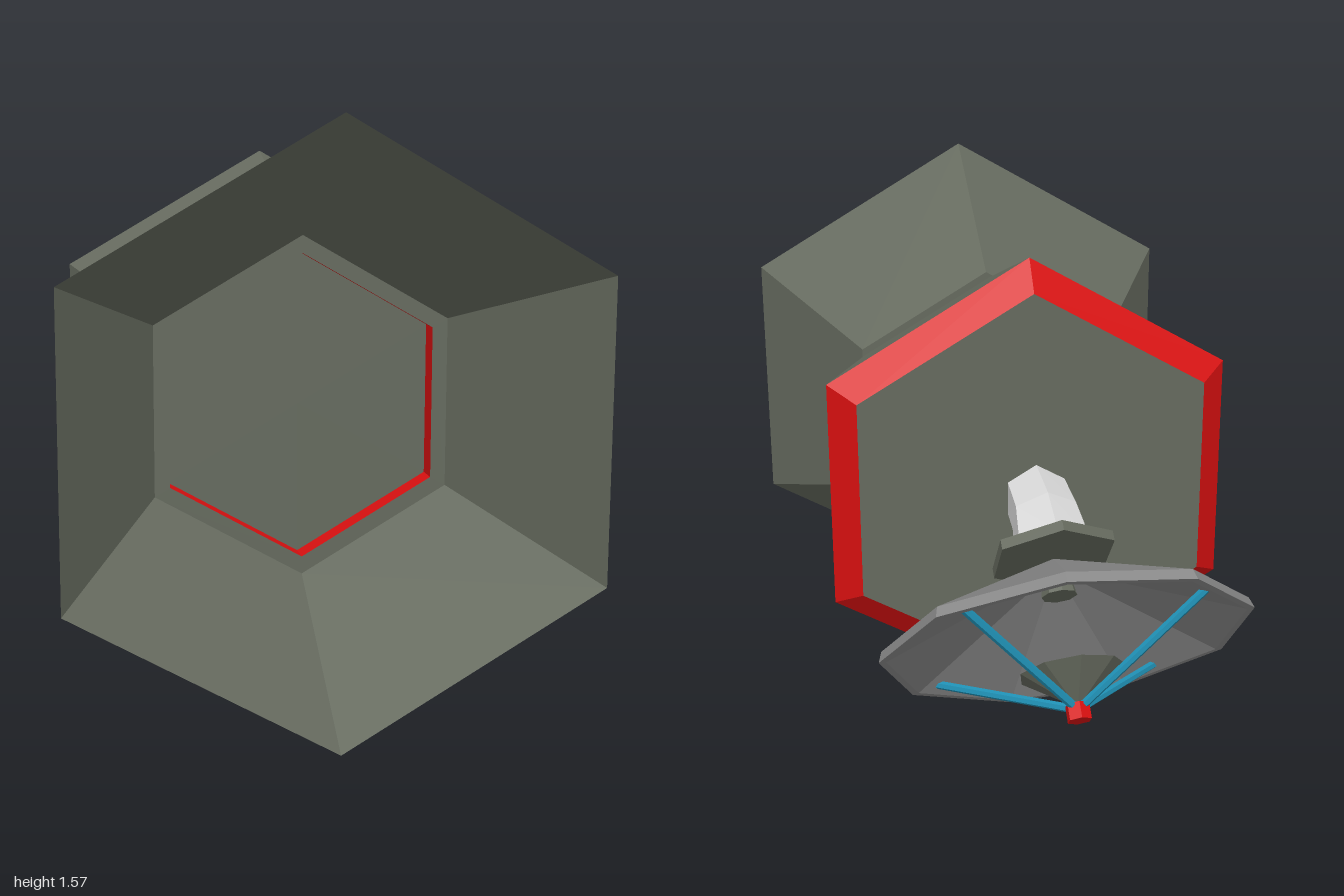
import * as THREE from 'three';

const AXIS_Y = 0.787; // height of the hull axis

function makeMaterials() {
  const make = (name, color) => {
    const m = new THREE.MeshStandardMaterial({ color, flatShading: true, side: THREE.DoubleSide });
    m.name = name;
    return m;
  };
  return {
    olive: make('olive hull', 0x656a5e),
    red: make('red trim', 0xd81010),
    grey: make('grey dish', 0x888888),
    pale: make('pale neck', 0xd8d8d8),
    blue: make('blue struts', 0x2093b8),
  };
}

function add(parent, name, geometry, material) {
  const mesh = new THREE.Mesh(geometry, material);
  mesh.name = name;
  parent.add(mesh);
  return mesh;
}

// Hexagonal frustum along z, with corners at top and bottom
function hexFrustum(zFront, rFront, zBack, rBack, open) {
  const g = new THREE.CylinderGeometry(rFront, rBack, zFront - zBack, 6, 1, open);
  return g.rotateX(Math.PI / 2).translate(0, 0, (zFront + zBack) / 2);
}

// Bent hexagonal tube; each section is [topY, topZ, bottomY, bottomZ]
function bentNeck(sections) {
  const pos = [], index = [], n = 6;
  for (const [ty, tz, by, bz] of sections) {
    const hy = (ty - by) / 2, hz = (tz - bz) / 2, r = Math.hypot(hy, hz);
    for (let j = 0; j < n; j++) {
      const t = (j / n) * Math.PI * 2;
      pos.push(r * Math.sin(t), (ty + by) / 2 + hy * Math.cos(t), (tz + bz) / 2 + hz * Math.cos(t));
    }
  }
  for (let i = 0; i < sections.length - 1; i++) {
    for (let j = 0; j < n; j++) {
      const a = i * n + j, b = i * n + ((j + 1) % n);
      index.push(a, b, a + n, b, b + n, a + n);
    }
  }
  for (let j = 1; j < n - 1; j++) index.push(0, j + 1, j); // start cap
  const g = new THREE.BufferGeometry();
  g.setAttribute('position', new THREE.Float32BufferAttribute(pos, 3));
  g.setIndex(index);
  g.computeVertexNormals();
  return g;
}

function strut(parent, name, from, to, radius, material) {
  const dir = to.clone().sub(from);
  const mesh = add(parent, name, new THREE.CylinderGeometry(radius, radius, dir.length(), 6), material);
  mesh.position.copy(from).add(to).multiplyScalar(0.5);
  mesh.quaternion.setFromUnitVectors(new THREE.Vector3(0, 1, 0), dir.normalize());
}

function makeHull(mat) {
  const hull = new THREE.Group();
  hull.name = 'hull';
  hull.position.y = AXIS_Y;

  // Open flared horn with a narrow flange at its throat
  add(hull, 'horn', hexFrustum(1, 0.787, 0.505, 0.463, true), mat.olive);
  const flange = add(hull, 'hornFlange', new THREE.RingGeometry(0.415, 0.463, 6, 1, Math.PI / 2), mat.olive);
  flange.position.z = 0.505;

  // Red collar, rear body and its bevelled edge
  add(hull, 'collar', hexFrustum(0.505, 0.415, 0.44, 0.415, true), mat.red);
  add(hull, 'body', hexFrustum(0.44, 0.463, -0.15, 0.664, false), mat.olive);
  add(hull, 'bodyBevel', hexFrustum(-0.15, 0.664, -0.215, 0.577, true), mat.red);
  const back = add(hull, 'backPanel', new THREE.CircleGeometry(0.577, 6, Math.PI / 2), mat.olive);
  back.rotation.y = Math.PI;
  back.position.z = -0.215;
  return hull;
}

function makeDish(mat) {
  const dish = new THREE.Group();
  dish.name = 'dish';
  dish.position.set(0, 0.505, -0.65); // rim centre; local +y is the way the dish looks
  dish.rotation.x = -Math.PI * 0.75;

  // Nine-sided reflector with a thin rim
  const profile = [[0, -0.25], [0.5, -0.03], [0.51, 0], [0.49, 0], [0, -0.22]]
    .map(([r, y]) => new THREE.Vector2(r, y));
  add(dish, 'reflector', new THREE.LatheGeometry(profile, 9, Math.PI / 2), mat.grey);

  // Small horn at the bottom of the dish and cone in front of it
  add(dish, 'feedHorn', new THREE.CylinderGeometry(0.05, 0.035, 0.08, 8).translate(0, -0.18, 0), mat.olive);
  add(dish, 'subReflector', new THREE.ConeGeometry(0.146, 0.1, 9).translate(0, 0.125, 0), mat.olive);

  // Red tip held by four struts
  add(dish, 'feedTip', new THREE.CylinderGeometry(0.034, 0.034, 0.045, 6).translate(0, 0.188, 0), mat.red);
  const tip = new THREE.Vector3(0, 0.18, 0);
  for (let i = 0; i < 4; i++) {
    const a = Math.PI / 4 + (i * Math.PI) / 2;
    strut(dish, 'strut', tip, new THREE.Vector3(0.45 * Math.cos(a), -0.02, 0.45 * Math.sin(a)), 0.012, mat.blue);
  }
  return dish;
}

export function createModel() {
  const mat = makeMaterials();
  const model = new THREE.Group();
  model.name = 'hornCraft';
  model.add(makeHull(mat));

  // Bent neck and mounting plate behind the hull
  add(model, 'neck', bentNeck([
    [0.875, -0.25, 0.685, -0.25],
    [0.85, -0.40, 0.675, -0.31],
    [0.79, -0.525, 0.615, -0.38],
  ]), mat.pale);
  const plate = add(model, 'mountPlate', new THREE.CylinderGeometry(0.18, 0.18, 0.03, 6), mat.olive);
  plate.position.set(0, 0.692, -0.468);
  plate.rotation.x = -2.28;

  model.add(makeDish(mat));
  return model;
}
